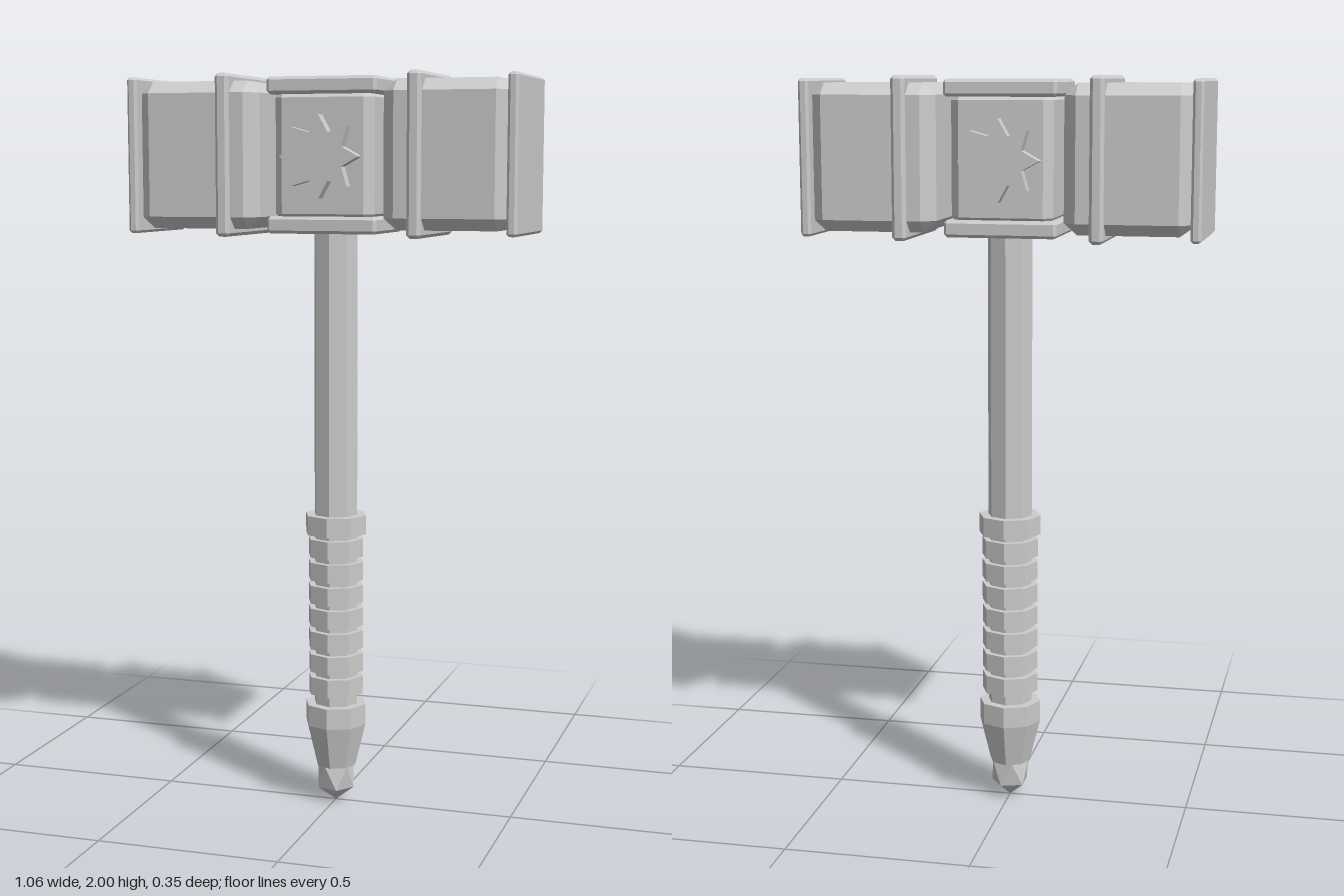
import * as THREE from 'three';
import { ConvexGeometry } from 'three/addons/geometries/ConvexGeometry.js';

const stone = new THREE.MeshStandardMaterial({ color: 0xcccccc, flatShading: true });
stone.name = 'grey stone';

// Box with every edge and corner cut; cuts give the inset per axis
function chamferBox(w, h, d, cx, cy = cx, cz = cx) {
  const points = [];
  for (const x of [-1, 1]) for (const y of [-1, 1]) for (const z of [-1, 1]) {
    const X = w / 2, Y = h / 2, Z = d / 2;
    points.push(
      new THREE.Vector3(x * X, y * (Y - cy), z * (Z - cz)),
      new THREE.Vector3(x * (X - cx), y * Y, z * (Z - cz)),
      new THREE.Vector3(x * (X - cx), y * (Y - cy), z * Z));
  }
  return new ConvexGeometry(points);
}

export function createModel() {
  const model = new THREE.Group();
  model.name = 'warHammer';

  function add(name, geometry, x = 0, y = 0, z = 0) {
    const mesh = new THREE.Mesh(geometry, stone);
    mesh.name = name;
    mesh.position.set(x, y, z);
    model.add(mesh);
    return mesh;
  }
  // Eight-sided section of the handle between two heights
  function octagon(name, rTop, rBottom, y0, y1) {
    add(name, new THREE.CylinderGeometry(rTop, rBottom, y1 - y0, 8), 0, (y0 + y1) / 2);
  }

  // Two hammer heads, each with a striking plate and a band
  for (const [side, s] of [['left', 1], ['right', -1]]) {
    add(side + 'HeadBlock', chamferBox(0.336, 0.386, 0.328, 0.035, 0.031, 0.035), s * 0.337, 1.788);
    add(side + 'StrikingPlate', chamferBox(0.028, 0.41, 0.342, 0.007), s * 0.515, 1.787);
    add(side + 'HeadBand', chamferBox(0.038, 0.425, 0.354, 0.009), s * 0.26, 1.7875);
  }

  // Centre block between two caps
  add('centreBlock', chamferBox(0.272, 0.35, 0.24, 0.024), 0, 1.786);
  add('topCap', chamferBox(0.3, 0.045, 0.27, 0.008), 0, 1.968);
  add('bottomCap', chamferBox(0.3, 0.045, 0.27, 0.008), 0, 1.606);

  // Raised eight-pointed stars on front and back
  const star = new THREE.Shape();
  for (let i = 0; i < 16; i++) {
    const r = i % 2 ? 0.067 : 0.108, a = i * Math.PI / 8;
    star[i ? 'lineTo' : 'moveTo'](r * Math.sin(a), r * Math.cos(a));
  }
  star.closePath();
  const starGeometry = new THREE.ExtrudeGeometry(star, { depth: 0.05, bevelEnabled: false });
  add('frontStar', starGeometry, 0, 1.784, 0.105);
  add('backStar', starGeometry, 0, 1.784, -0.105).rotation.y = Math.PI;

  // Shaft and ringed grip
  octagon('shaft', 0.061, 0.061, 0.2, 1.6);
  octagon('gripCollar', 0.086, 0.086, 0.763, 0.816);
  for (let i = 0; i < 7; i++) {
    const y = 0.725 - i * 0.0645;
    octagon('gripRing', 0.078, 0.078, y - 0.025, y + 0.025);
  }

  // Tapered butt and faceted pommel
  octagon('buttCollar', 0.086, 0.086, 0.225, 0.283);
  octagon('buttTaper', 0.086, 0.056, 0.105, 0.225);
  const gem = new THREE.IcosahedronGeometry(0.058, 0);
  gem.rotateZ(Math.atan(2 / (1 + Math.sqrt(5))));
  gem.scale(1, 1.25, 1);
  add('pommelGem', gem, 0, 0.0725);

  return model;
}
